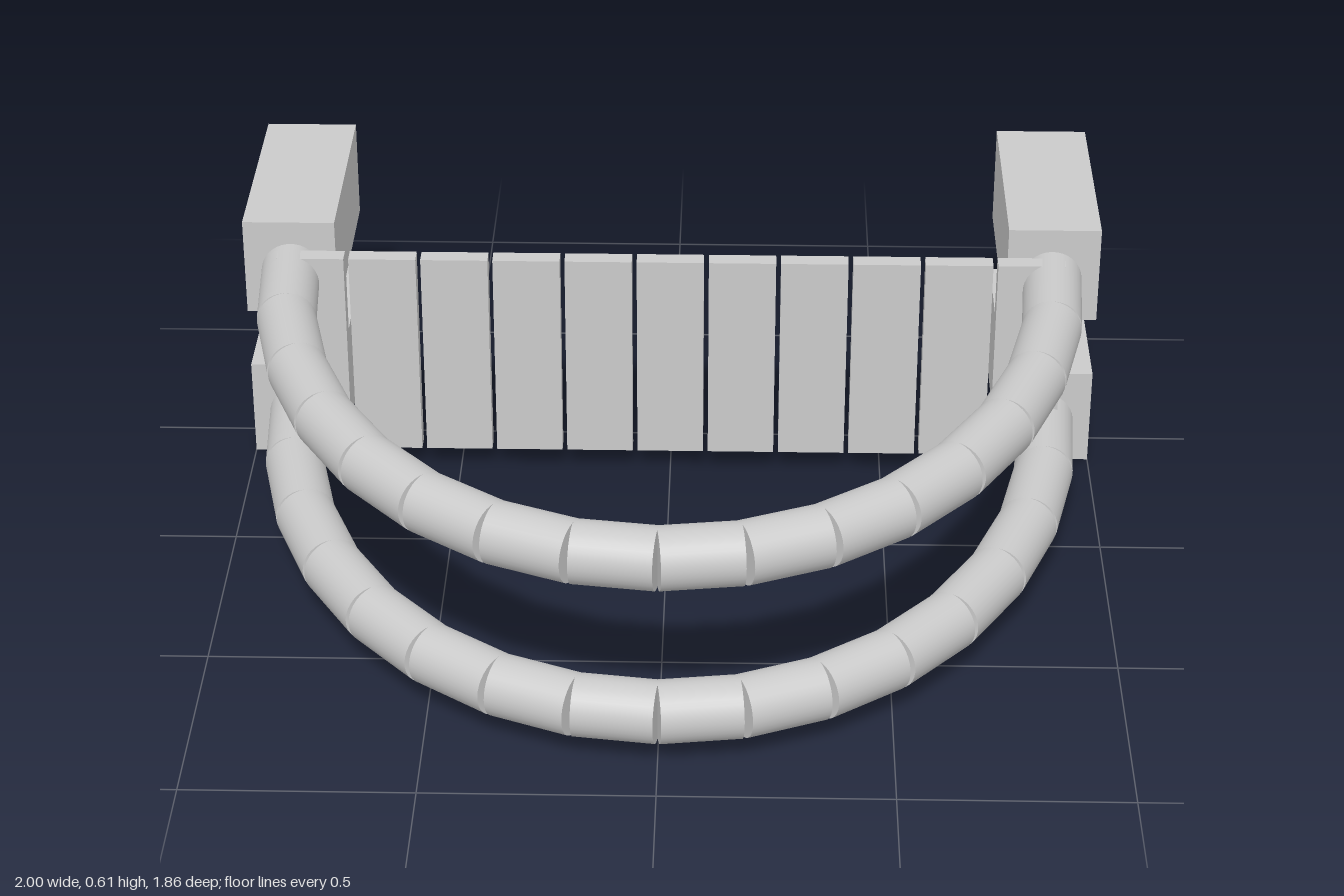
import * as THREE from 'three';

const grey = new THREE.MeshStandardMaterial({ color: 0xcacaca });
grey.name = 'light grey';

const LEVELS = [['lower', 0.118], ['upper', 0.498]];
const SEGMENTS = 16, RADIUS = 0.068;

function addMesh(parent, name, geometry, x, y, z) {
  const mesh = new THREE.Mesh(geometry, grey);
  mesh.name = name;
  mesh.position.set(x, y, z);
  parent.add(mesh);
  return mesh;
}

// Joint positions lie on half an ellipse bulging towards the front
function jointAt(i, y) {
  const t = (i / SEGMENTS) * Math.PI;
  return new THREE.Vector3(0.89 * Math.cos(t), y, -0.386 + 1.248 * Math.sin(t));
}

// A hoop of straight tube pieces whose centre lines meet at the joints
function makeHoop(name, y) {
  const hoop = new THREE.Group();
  hoop.name = name;
  const up = new THREE.Vector3(0, 1, 0);
  for (let i = 0; i < SEGMENTS; i++) {
    const a = jointAt(i, y), b = jointAt(i + 1, y);
    const dir = b.clone().sub(a);
    const mid = a.clone().add(b).multiplyScalar(0.5);
    const piece = addMesh(hoop, 'hoopSegment',
      new THREE.CylinderGeometry(RADIUS, RADIUS, dir.length(), 32), mid.x, mid.y, mid.z);
    piece.quaternion.setFromUnitVectors(up, dir.normalize());
  }
  return hoop;
}

export function createModel() {
  const model = new THREE.Group();
  model.name = 'hoopFrame';

  // Two stacked hoops, each ending at a pair of mounting blocks
  const block = new THREE.BoxGeometry(0.215, 0.235, 0.532);
  for (const [level, y] of LEVELS) {
    model.add(makeHoop(level + 'Hoop', y));
    for (const side of [1, -1]) {
      addMesh(model, level + (side > 0 ? 'Left' : 'Right') + 'Block',
        block, side * 0.8925, y, -0.664);
    }
  }

  // Row of upright slats across the back
  const backPanel = new THREE.Group();
  backPanel.name = 'backPanel';
  const slat = new THREE.BoxGeometry(0.156, 0.505, 0.042);
  for (let i = -5; i <= 5; i++) addMesh(backPanel, 'slat', slat, i * 0.1673, 0.308, -0.343);
  model.add(backPanel);

  return model;
}
